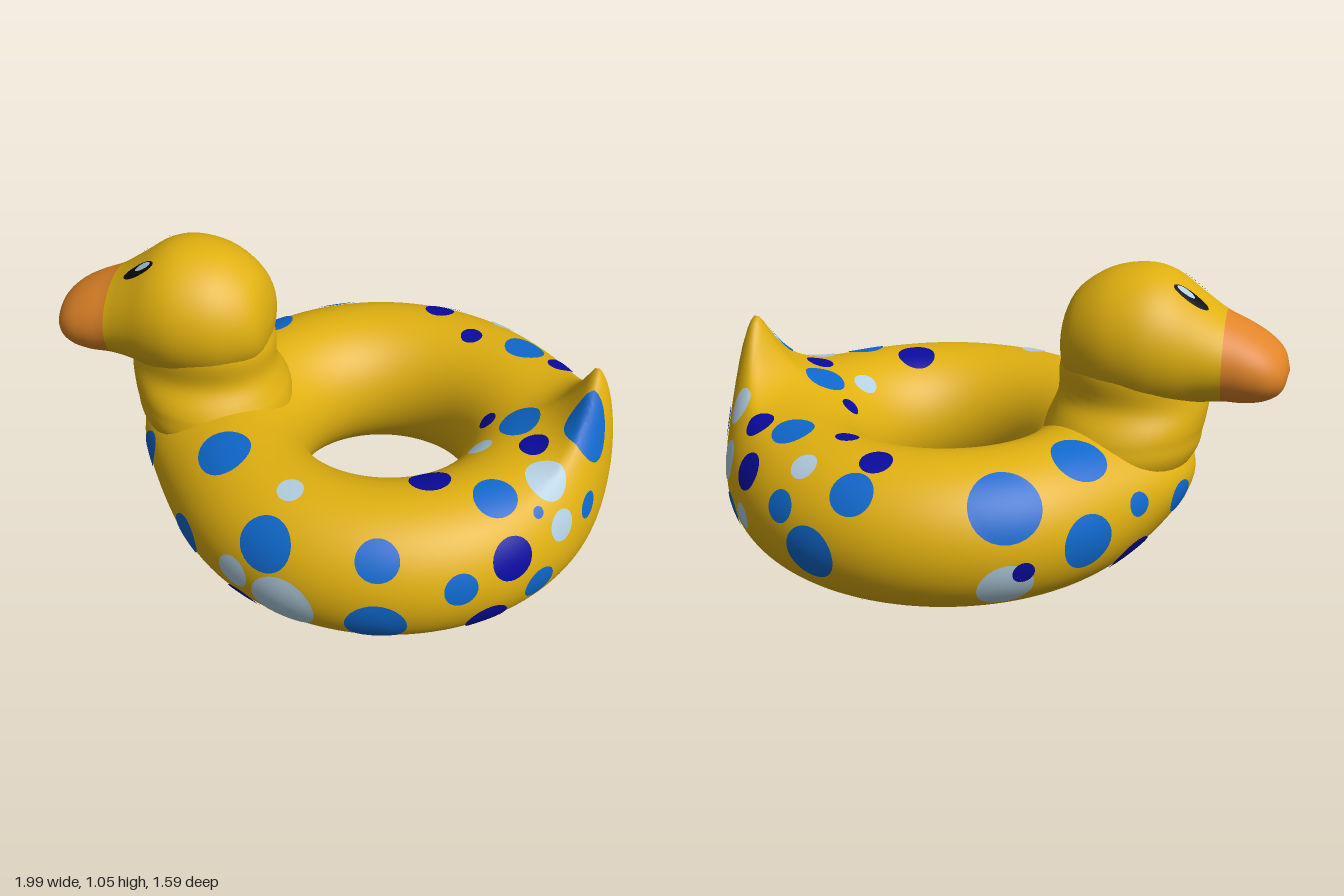
import * as THREE from 'three';
import { mergeVertices } from 'three/addons/utils/BufferGeometryUtils.js';

const RAD = Math.PI / 180;
const mat = (name, color) => {
  const m = new THREE.MeshStandardMaterial({ color });
  m.name = name;
  return m;
};
// signed difference of two angles in degrees, within -180..180
const angleDiff = (a, b) => ((((a - b + 180) % 360) + 360) % 360) - 180;
const bell = (d, width, power = 2) => Math.exp(-Math.pow(Math.abs(d) / width, power));

// Swim ring: u runs round the ring (0 = tail, 180 = breast), v round the tube (0 = outside, 90 = top)
function ringSurface(u, v) {
  const c = Math.cos(v * RAD), s = Math.sin(v * RAD);
  const dv = angleDiff(v, 52);
  const side = angleDiff(u, 0);
  const breast = 0.11 * bell(angleDiff(u, 180), 22) * bell(angleDiff(v, 25), 45);
  const tailAcross = Math.abs(side) < 90 ? bell(0.7 * Math.sin(side * RAD), 0.19, 1.35) : 0;
  const tail = tailAcross * (dv > 0 ? bell(dv, 22, 1.3) : bell(dv, 45));
  const rho = 0.535 + 0.26 * c + breast + 0.018 * tail;
  return new THREE.Vector3(
    0.19 + rho * Math.cos(u * RAD), 0.26 + 0.26 * s + 0.31 * tail, -rho * Math.sin(u * RAD));
}

// Smooth interpolation through rows of [position, edgeA, edgeB, halfWidth]
function sectionCurve(rows) {
  const a = new THREE.CatmullRomCurve3(rows.map(r => new THREE.Vector3(r[0], r[1], 0)), false, 'catmullrom', 0.5);
  const b = new THREE.CatmullRomCurve3(rows.map(r => new THREE.Vector3(r[0], r[2], r[3])), false, 'catmullrom', 0.5);
  return t => {
    const p = a.getPoint(t), q = b.getPoint(t);
    return { pos: p.x, mid: (p.y + q.y) / 2, half: (p.y - q.y) / 2, width: Math.max(q.z, 0) };
  };
}

// Head and beak: [x, top, bottom, half width]
const headAt = sectionCurve([
  [-0.22, 0.775, 0.775, 0], [-0.235, 0.87, 0.68, 0.11], [-0.28, 0.955, 0.62, 0.175],
  [-0.38, 1.025, 0.57, 0.235], [-0.5, 1.05, 0.555, 0.257], [-0.6, 1.03, 0.56, 0.242],
  [-0.7, 0.96, 0.585, 0.205], [-0.78, 0.905, 0.595, 0.18], [-0.86, 0.867, 0.595, 0.17],
  [-0.93, 0.825, 0.61, 0.15], [-0.98, 0.775, 0.645, 0.1], [-1, 0.715, 0.715, 0]]);
function headSurface(t, a) {
  const s = headAt(t);
  return new THREE.Vector3(s.pos, s.mid + s.half * Math.cos(a * RAD), s.width * Math.sin(a * RAD));
}

// Neck: [y, back x, front x, half width]
const neckAt = sectionCurve([
  [0.25, -0.18, -0.6, 0.22], [0.4, -0.16, -0.7, 0.29], [0.48, -0.17, -0.72, 0.285],
  [0.53, -0.19, -0.73, 0.265], [0.6, -0.215, -0.735, 0.222], [0.7, -0.22, -0.7, 0.228],
  [0.8, -0.27, -0.62, 0.21]]);
function neckSurface(t, a) {
  const s = neckAt(t);
  return new THREE.Vector3(s.mid + s.half * Math.cos(a * RAD), s.pos, s.width * Math.sin(a * RAD));
}

// Mesh grid over a surface function; v always spans 360 degrees
function gridGeometry(surface, uMax, nu, nv) {
  const pos = [], index = [];
  for (let i = 0; i <= nu; i++) {
    for (let j = 0; j <= nv; j++) {
      pos.push(...surface(uMax * i / nu, 360 * (j % nv) / nv).toArray());
      if (i === nu || j === nv) continue;
      const a = i * (nv + 1) + j, b = a + nv + 1;
      index.push(a, b, b + 1, a, b + 1, a + 1);
    }
  }
  let g = new THREE.BufferGeometry();
  g.setAttribute('position', new THREE.Float32BufferAttribute(pos, 3));
  g.setIndex(index);
  g = mergeVertices(g, 1e-5);
  g.computeVertexNormals();
  return g;
}

// Thin oval that follows a surface, with radii in model units
function patchGeometry(surface, u0, v0, ru, rv, lift, eu) {
  const ev = 0.2;
  const slopes = (u, v) => [
    surface(u + eu, v).sub(surface(u - eu, v)).divideScalar(2 * eu),
    surface(u, v + ev).sub(surface(u, v - ev)).divideScalar(2 * ev)];
  const [su, sv] = slopes(u0, v0);
  const du = ru / su.length(), dv = rv / sv.length();
  const rings = 5, seg = 28, pos = [], index = [];
  const add = (u, v) => {
    const [a, b] = slopes(u, v);
    pos.push(...surface(u, v).addScaledVector(a.cross(b).normalize(), lift).toArray());
  };
  add(u0, v0);
  for (let r = 1; r <= rings; r++) {
    for (let k = 0; k < seg; k++) {
      const a = 2 * Math.PI * k / seg, f = r / rings;
      add(u0 + du * f * Math.cos(a), v0 + dv * f * Math.sin(a));
      const o = 1 + (r - 1) * seg, n = (k + 1) % seg;
      if (r === 1) index.push(0, o + k, o + n);
      else index.push(o - seg + k, o + k, o + n, o - seg + k, o + n, o - seg + n);
    }
  }
  const g = new THREE.BufferGeometry();
  g.setAttribute('position', new THREE.Float32BufferAttribute(pos, 3));
  g.setIndex(index);
  g.computeVertexNormals();
  return g;
}

// Spots on the ring: [u, v, radius]
const BLUE_SPOTS = [
  [-163, 15, 0.065], [-136.5, -6, 0.075], [-109, 33, 0.095], [-139, 70, 0.095], [-108, -56, 0.05],
  [-80, 39, 0.072], [-80, -17, 0.102], [-60, 13, 0.058], [-38, -8, 0.062], [-19, 18, 0.042],
  [-35, 44, 0.02], [-43.7, 70, 0.075], [-5, 103, 0.075], [-10, 47, 0.1], [144.6, 62, 0.095],
  [118.6, 38, 0.122], [79.6, 44, 0.075], [44.3, 75, 0.075], [60, 21, 0.055], [14, 18, 0.058],
  [34, -12, 0.062], [70, -6, 0.095], [34, -78, 0.05], [139, 0, 0.095], [155, 15, 0.042],
  [170, 5, 0.06], [-40, -120, 0.05]];
const NAVY_SPOTS = [
  [-117, -35, 0.065], [-52, -27, 0.075], [-59, -62, 0.055], [-46, 24, 0.075], [-21, -44, 0.1],
  [-60, 107, 0.07], [-17.5, 83, 0.05], [5, 132, 0.036], [82.4, 74, 0.055], [63, 97, 0.04],
  [42.8, 29, 0.065], [32, 57, 0.052], [13.4, -31, 0.062], [122, -12, 0.038], [158, -35, 0.085],
  [42, -68, 0.07], [60, -62, 0.055], [78, -68, 0.06]];
const PALE_SPOTS = [
  [-117, -1, 0.062], [-103, -12, 0.115], [-29.6, 25, 0.052], [-27, 58, 0.07], [-22.6, 124, 0.045],
  [-109.6, 77, 0.045], [61.8, 54, 0.048], [19.5, 42, 0.058], [28, 17, 0.066], [43.3, -5, 0.045],
  [118, -25, 0.095]];

export function createModel() {
  const yellow = mat('duckYellow', 0xe0b010);
  const orange = mat('beakOrange', 0xe08428);
  const blue = mat('spotBlue', 0x0f68cc);
  const navy = mat('spotNavy', 0x0a0a9e);
  const pale = mat('spotPale', 0xb2cee0);
  const black = mat('eyeBlack', 0x0a0a0a);

  const model = new THREE.Group();
  model.name = 'duckSwimRing';
  const add = (name, geometry, material, parent = model) => {
    const mesh = new THREE.Mesh(geometry, material);
    mesh.name = name;
    parent.add(mesh);
  };

  add('ringWithTail', gridGeometry(ringSurface, 360, 160, 80), yellow);
  add('neck', gridGeometry(neckSurface, 1, 24, 48), yellow);

  // head and beak share one smooth skin, split by material
  const rows = 44, sides = 48, beakRow = 28;
  const head = gridGeometry(headSurface, 1, rows, sides);
  head.addGroup(0, beakRow * sides * 6, 0);
  head.addGroup(beakRow * sides * 6, (rows - beakRow) * sides * 6, 1);
  add('headAndBeak', head, [yellow, orange]);

  // eyes with highlights, mirrored across z
  for (const s of [-1, 1]) {
    const eye = new THREE.Group();
    eye.name = s > 0 ? 'frontEye' : 'backEye';
    model.add(eye);
    add('pupil', patchGeometry(headSurface, 0.514, 24 * s, 0.075, 0.027, 0.004, 0.002), black, eye);
    add('highlight', patchGeometry(headSurface, 0.494, 23 * s, 0.036, 0.014, 0.007, 0.002), pale, eye);
  }

  // spots
  for (const [name, list, material] of [
    ['blueSpot', BLUE_SPOTS, blue], ['navySpot', NAVY_SPOTS, navy], ['paleSpot', PALE_SPOTS, pale]]) {
    const group = new THREE.Group();
    group.name = name + 's';
    model.add(group);
    for (const [u, v, r] of list) add(name, patchGeometry(ringSurface, u, v, r, r, 0.004, 0.2), material, group);
  }
  return model;
}
